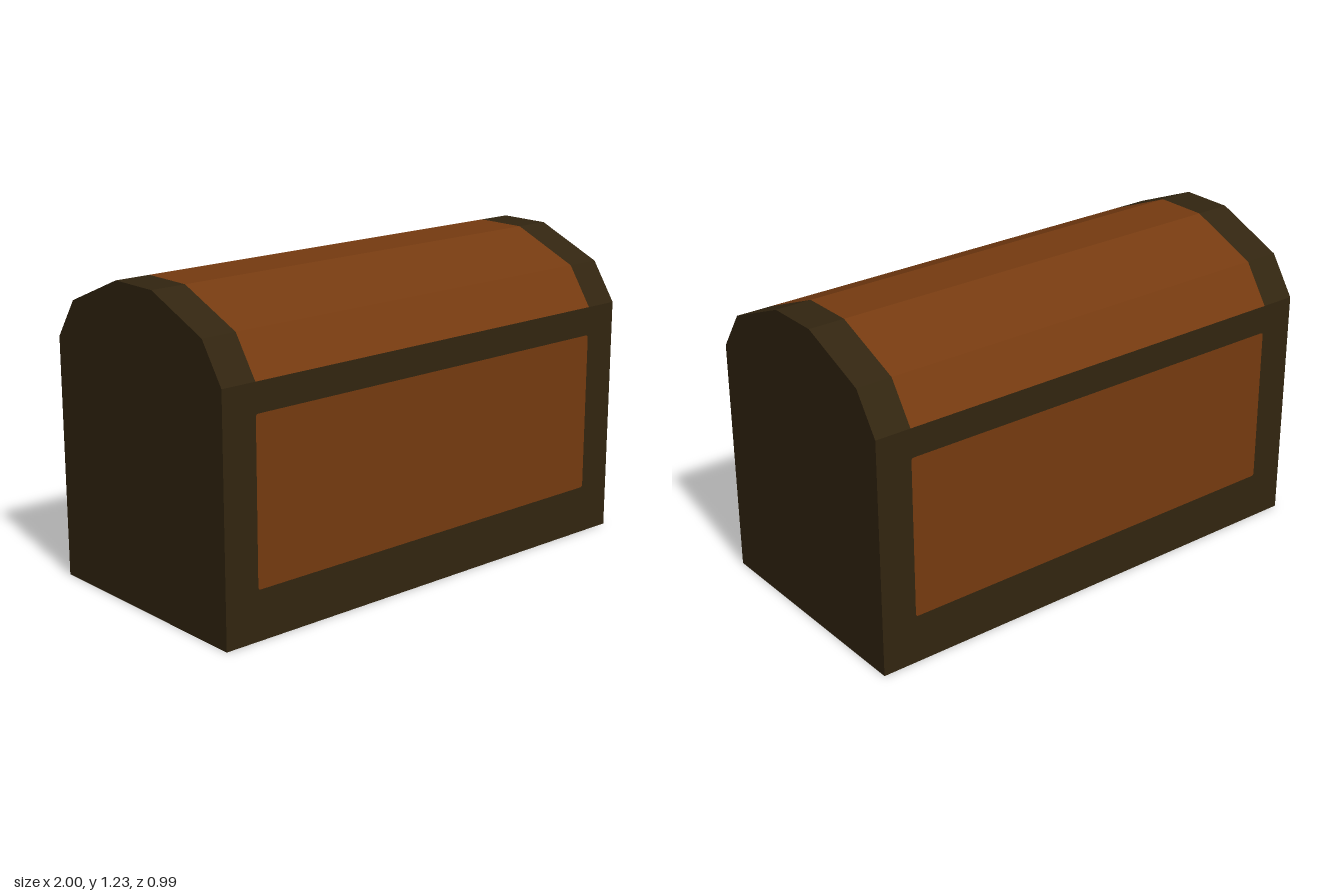
import * as THREE from 'three';

const W = 1, D = 0.497, WALL = 0.955; // half width, half depth, wall height
const PX = 0.855, PY0 = 0.195, PY1 = 0.84; // inset panel bounds

// Lid arch as (z, y), front to back
const half = [[D, WALL], [0.393, 1.11], [0.108, 1.23]];
const arch = [...half, ...half.slice().reverse().map(([z, y]) => [-z, y])];

// Rectangle with slightly rounded corners
function roundedRect(target, x0, y0, x1, y1, r) {
  target.moveTo(x0 + r, y0);
  target.lineTo(x1 - r, y0);
  target.quadraticCurveTo(x1, y0, x1, y0 + r);
  target.lineTo(x1, y1 - r);
  target.quadraticCurveTo(x1, y1, x1 - r, y1);
  target.lineTo(x0 + r, y1);
  target.quadraticCurveTo(x0, y1, x0, y1 - r);
  target.lineTo(x0, y0 + r);
  target.quadraticCurveTo(x0, y0, x0 + r, y0);
  return target;
}

// Faceted sheet following the arch between two x positions
function archStrip(x0, x1) {
  const pos = [];
  for (let i = 0; i < arch.length - 1; i++) {
    const [za, ya] = arch[i], [zb, yb] = arch[i + 1];
    pos.push(x0, ya, za, x1, ya, za, x1, yb, zb);
    pos.push(x0, ya, za, x1, yb, zb, x0, yb, zb);
  }
  const g = new THREE.BufferGeometry();
  g.setAttribute('position', new THREE.Float32BufferAttribute(pos, 3));
  g.computeVertexNormals();
  return g;
}

export function createModel() {
  const trim = new THREE.MeshStandardMaterial({ name: 'dark trim', color: 0x322510, side: THREE.DoubleSide });
  const wood = new THREE.MeshStandardMaterial({ name: 'brown wood', color: 0x753a10, side: THREE.DoubleSide });
  const chest = new THREE.Group();
  chest.name = 'chest';
  const add = (name, geometry, material) => {
    const mesh = new THREE.Mesh(geometry, material);
    mesh.name = name;
    chest.add(mesh);
    return mesh;
  };

  // Front and back walls: trim frame with a flush wooden panel
  const frame = new THREE.Shape([[-W, 0], [W, 0], [W, WALL], [-W, WALL]].map(p => new THREE.Vector2(...p)));
  frame.holes.push(roundedRect(new THREE.Path(), -PX, PY0, PX, PY1, 0.012));
  const panel = roundedRect(new THREE.Shape(), -PX, PY0, PX, PY1, 0.012);
  for (const [side, z, turn] of [['front', D, 0], ['back', -D, Math.PI]]) {
    for (const [part, shape, mat] of [['Frame', frame, trim], ['Panel', panel, wood]]) {
      const mesh = add(side + part, new THREE.ShapeGeometry(shape, 4), mat);
      mesh.position.z = z;
      mesh.rotation.y = turn;
    }
  }

  // Arched end walls; the underside stays open
  const outline = [[D, 0], [-D, 0], ...arch.slice().reverse()];
  const end = new THREE.Shape(outline.map(([z, y]) => new THREE.Vector2(z, y)));
  for (const [name, s] of [['leftEnd', 1], ['rightEnd', -1]]) {
    const mesh = add(name, new THREE.ShapeGeometry(end), trim);
    mesh.position.x = s * W;
    mesh.rotation.y = s * Math.PI / 2;
  }

  // Lid boards and the trim bands at each end
  add('lidBoards', archStrip(-PX, PX), wood);
  add('leftLidBand', archStrip(PX, W), trim);
  add('rightLidBand', archStrip(-W, -PX), trim);

  return chest;
}
